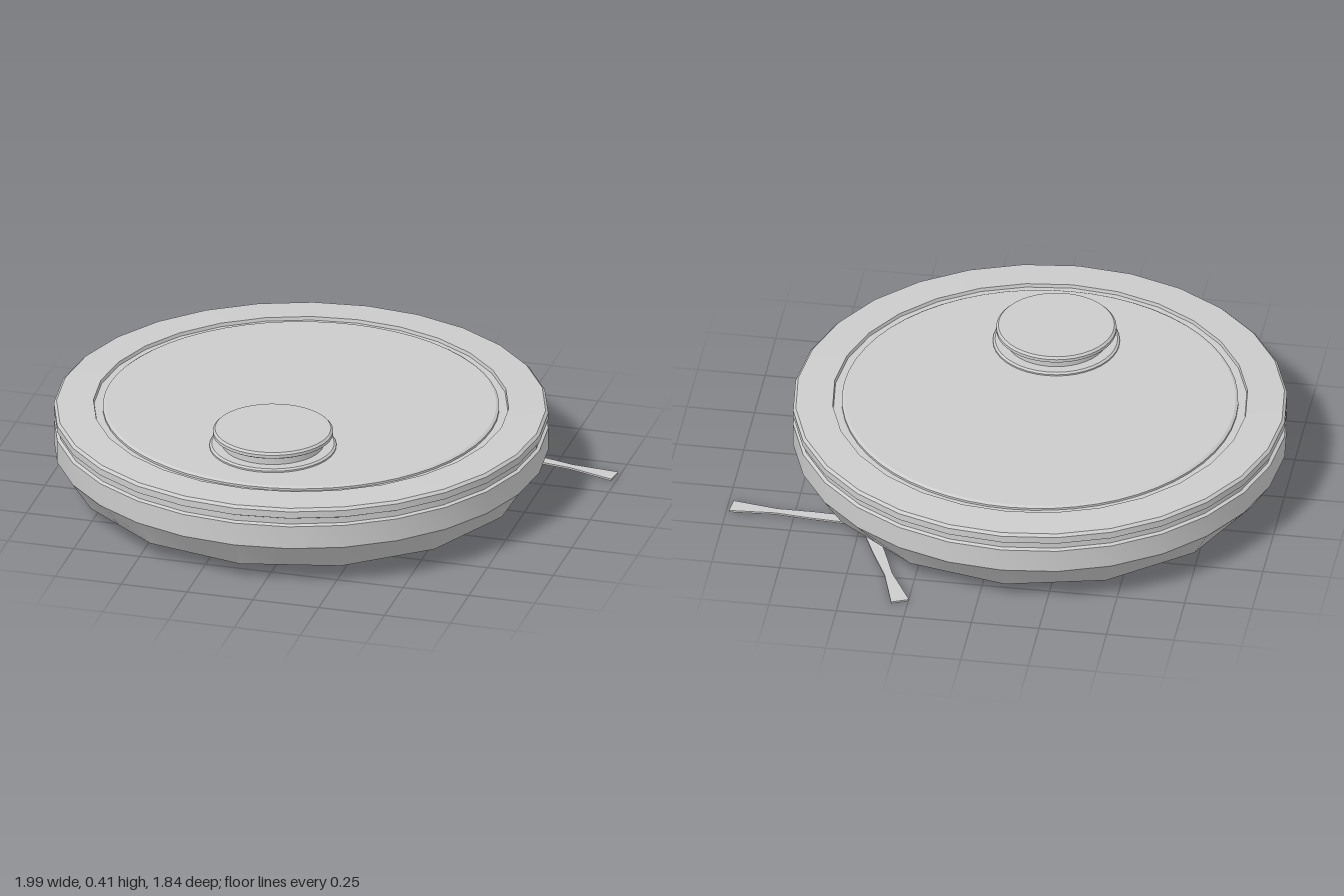
import * as THREE from 'three';
import { toCreasedNormals } from 'three/addons/utils/BufferGeometryUtils.js';

const material = new THREE.MeshStandardMaterial({ color: 0xcccccc });
const CX = -0.095, CZ = 0.01; // centre of the round body
const SIDES = 28;

function add(parent, name, geometry, x = 0, y = 0, z = 0) {
  const mesh = new THREE.Mesh(geometry, material);
  mesh.name = name;
  mesh.position.set(x, y, z);
  parent.add(mesh);
  return mesh;
}

// Turned part from [radius, height] pairs, listed from the bottom up
function turned(profile, sides) {
  return new THREE.LatheGeometry(profile.map(([r, y]) => new THREE.Vector2(r, y)), sides);
}

// Shell: 28-sided above, merging to 14 sides along the chamfer and underside
function shellGeometry() {
  const profile = [
    [0, 0.03], [0.6, 0.03], [0.835, 0.065], [0.905, 0.172], [0.905, 0.26],
    [0.893, 0.266], [0.893, 0.288], [0.905, 0.294], [0.905, 0.32], [0.895, 0.33],
    [0.76, 0.335], [0.757, 0.322], [0.70, 0.322],
  ];
  const geometry = turned(profile, SIDES);
  const pos = geometry.attributes.position;
  const shrink = Math.cos((2 * Math.PI) / SIDES);
  for (let i = 0; i < pos.count; i++) {
    const column = Math.floor(i / profile.length);
    if (column % 2 === 1 && pos.getY(i) < 0.1) {
      pos.setX(i, pos.getX(i) * shrink);
      pos.setZ(i, pos.getZ(i) * shrink);
    }
  }
  return toCreasedNormals(geometry, 0.3);
}

// Thin brush arm that narrows, then flares at its tip, sloping to the floor
function armGeometry() {
  const outline = [[0, 0.024], [0.2, 0.022], [0.34, 0.015], [0.51, 0.034]];
  const points = [...outline, ...outline.map(([x, w]) => [x, -w]).reverse()];
  const shape = new THREE.Shape(points.map(([x, w]) => new THREE.Vector2(x, w)));
  const geometry = new THREE.ExtrudeGeometry(shape, { depth: 0.007, bevelEnabled: false });
  geometry.rotateX(Math.PI / 2);
  geometry.rotateZ(-0.045);
  return geometry;
}

export function createModel() {
  const model = new THREE.Group();
  model.name = 'robotVacuum';

  // Body shell and inset lid, separated by a fine groove
  add(model, 'bodyShell', shellGeometry(), CX, 0, CZ);
  const lid = turned([[0.725, 0.315], [0.725, 0.33], [0.715, 0.336], [0, 0.337]], 56);
  add(model, 'lid', toCreasedNormals(lid, 0.5), CX, 0, CZ);

  // Sensor turret: flange, recessed neck and overhanging cap
  const turret = new THREE.Group();
  turret.name = 'sensorTurret';
  turret.position.set(CX, 0, 0.39);
  model.add(turret);
  const turretParts = {
    turretFlange: [[0.232, 0.33], [0.232, 0.342], [0.224, 0.348], [0.18, 0.348]],
    turretNeck: [[0.187, 0.34], [0.187, 0.388]],
    turretCap: [[0, 0.383], [0.212, 0.383], [0.22, 0.388], [0.22, 0.4], [0.212, 0.408], [0, 0.409]],
  };
  for (const [name, profile] of Object.entries(turretParts)) {
    add(turret, name, toCreasedNormals(turned(profile, 40), 0.5));
  }

  // Three-armed side brush under the back corner
  const brush = new THREE.Group();
  brush.name = 'sideBrush';
  brush.position.set(0.48, 0, -0.44);
  model.add(brush);
  add(brush, 'brushHub', new THREE.CylinderGeometry(0.028, 0.028, 0.04, 12), 0, 0.045, 0);
  const arm = armGeometry();
  for (let i = 0; i < 3; i++) {
    const mesh = add(brush, 'brushArm', arm, 0, 0.031, 0);
    mesh.rotation.y = -THREE.MathUtils.degToRad(6.7 + 120 * i);
  }

  return model;
}
